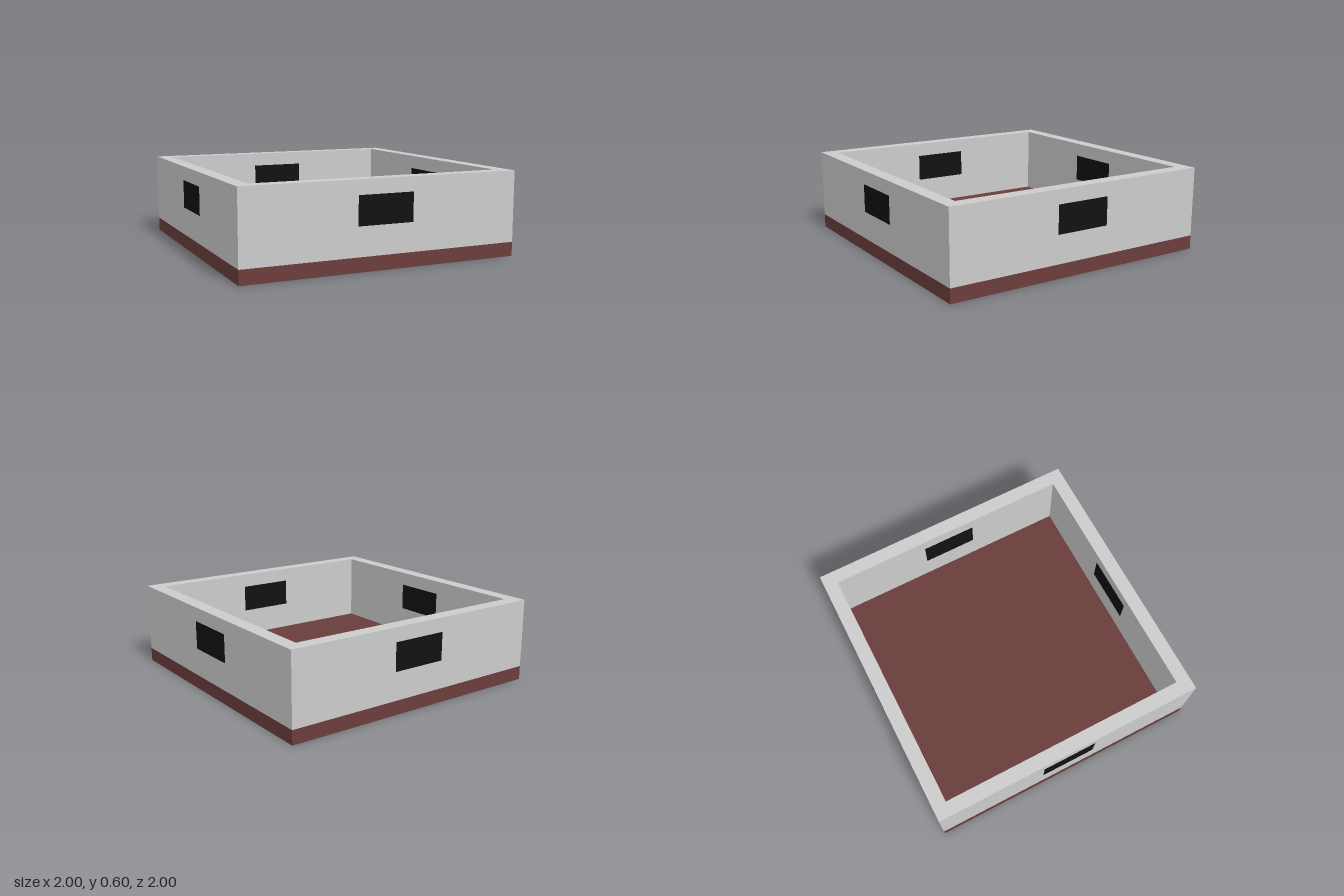
import * as THREE from 'three';

const SIZE = 2, WALL = 0.1, FLOOR = 0.1, HEIGHT = 0.6;

function square(ShapeType, half) {
  const s = new ShapeType();
  s.moveTo(-half, -half);
  s.lineTo(half, -half);
  s.lineTo(half, half);
  s.lineTo(-half, half);
  s.closePath();
  return s;
}

export function createModel() {
  const model = new THREE.Group();
  model.name = 'openTray';
  const grey = new THREE.MeshStandardMaterial({ color: 0xcccccc });
  const brown = new THREE.MeshStandardMaterial({ color: 0x6a3d3c });
  const black = new THREE.MeshStandardMaterial({ color: 0x111111 });

  // Floor slab
  const floor = new THREE.Mesh(new THREE.BoxGeometry(SIZE, FLOOR, SIZE), brown);
  floor.name = 'floor';
  floor.position.y = FLOOR / 2;
  model.add(floor);

  // Continuous square wall ring standing on the slab
  const ring = square(THREE.Shape, SIZE / 2);
  ring.holes.push(square(THREE.Path, SIZE / 2 - WALL));
  const wallGeo = new THREE.ExtrudeGeometry(ring, { depth: HEIGHT - FLOOR, bevelEnabled: false });
  wallGeo.rotateX(-Math.PI / 2);
  const walls = new THREE.Mesh(wallGeo, grey);
  walls.name = 'walls';
  walls.position.y = FLOOR;
  model.add(walls);

  // Dark window through the middle of each wall, a hair proud on both faces
  const windowGeo = new THREE.BoxGeometry(0.4, 0.2, WALL + 0.002);
  windowGeo.translate(0, 0.4, SIZE / 2 - WALL / 2);
  ['front', 'left', 'back', 'right'].forEach((side, i) => {
    const pane = new THREE.Mesh(windowGeo, black);
    pane.name = side + 'Window';
    pane.rotation.y = i * Math.PI / 2;
    model.add(pane);
  });

  return model;
}
